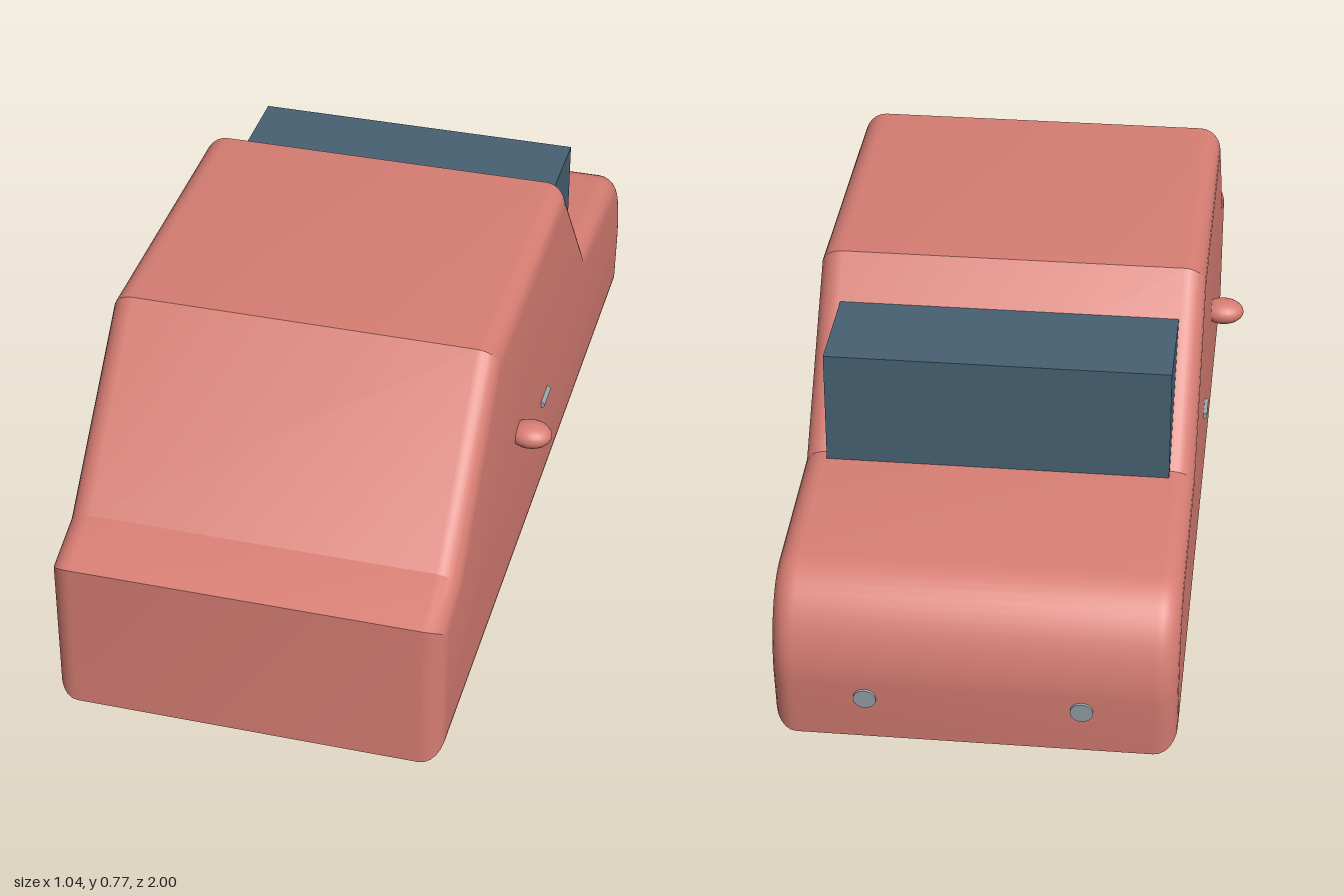
import * as THREE from 'three';
import { toCreasedNormals } from 'three/addons/utils/BufferGeometryUtils.js';

const makeMaterial = (name, color) => {
  const m = new THREE.MeshStandardMaterial({ color });
  m.name = name;
  return m;
};

// Extrudes a side profile (z, y) across the car, centred on x = 0
function extrudeAcross(shape, width, bevel) {
  const depth = width - 2 * bevel;
  const geo = new THREE.ExtrudeGeometry(shape, {
    depth, curveSegments: 14,
    bevelEnabled: bevel > 0, bevelThickness: bevel, bevelSize: bevel,
    bevelOffset: -bevel, bevelSegments: 6,
  });
  geo.translate(0, 0, -depth / 2);
  geo.rotateY(-Math.PI / 2);
  return geo;
}

export function createModel() {
  const car = new THREE.Group();
  car.name = 'car';
  const paint = makeMaterial('red paint', 0xd67d73);
  const glass = makeMaterial('dark blue glass', 0x466071);
  const metal = makeMaterial('grey metal', 0x98a6ab);

  const add = (name, geo, mat, x = 0, y = 0, z = 0) => {
    const mesh = new THREE.Mesh(geo, mat);
    mesh.name = name;
    mesh.position.set(x, y, z);
    car.add(mesh);
    return mesh;
  };

  // Body: side profile with rounded long edges
  const profile = new THREE.Shape();
  profile.moveTo(1, 0.008);
  profile.lineTo(1, 0.375);
  profile.lineTo(0.86, 0.42);
  profile.lineTo(0.515, 0.77);
  profile.lineTo(-0.195, 0.77);
  profile.lineTo(-0.49, 0.415);
  profile.lineTo(-0.85, 0.39);
  profile.bezierCurveTo(-0.95, 0.375, -1.005, 0.27, -0.997, 0.15);
  profile.lineTo(-0.977, 0);
  profile.closePath();
  add('body', toCreasedNormals(extrudeAcross(profile, 0.88, 0.05), 0.4), paint);

  // Rear window: wedge filling the angle between cabin and boot
  const wedge = new THREE.Shape();
  wedge.moveTo(-0.27, 0.68);
  wedge.lineTo(-0.515, 0.68);
  wedge.lineTo(-0.515, 0.405);
  wedge.lineTo(-0.48, 0.405);
  wedge.closePath();
  add('rearWindow', extrudeAcross(wedge, 0.77, 0), glass);

  for (const side of [1, -1]) {
    const label = side > 0 ? 'left' : 'right';

    // Wing mirror
    const mirror = new THREE.SphereGeometry(1, 20, 14);
    mirror.scale(0.05, 0.029, 0.042);
    add(label + 'Mirror', mirror, paint, side * 0.468, 0.393, 0.28);

    // Door handle
    const handle = new THREE.CylinderGeometry(0.008, 0.008, 0.07, 12);
    handle.rotateX(Math.PI / 2);
    add(label + 'DoorHandle', handle, metal, side * 0.441, 0.29, -0.012);

    // Rear lamp, tilted to follow the tail
    const lamp = new THREE.CylinderGeometry(0.025, 0.025, 0.009, 20);
    lamp.rotateX(-Math.PI / 2);
    add(label + 'RearLamp', lamp, metal, side * 0.235, 0.115, -0.994).rotation.x = -0.13;
  }
  return car;
}
